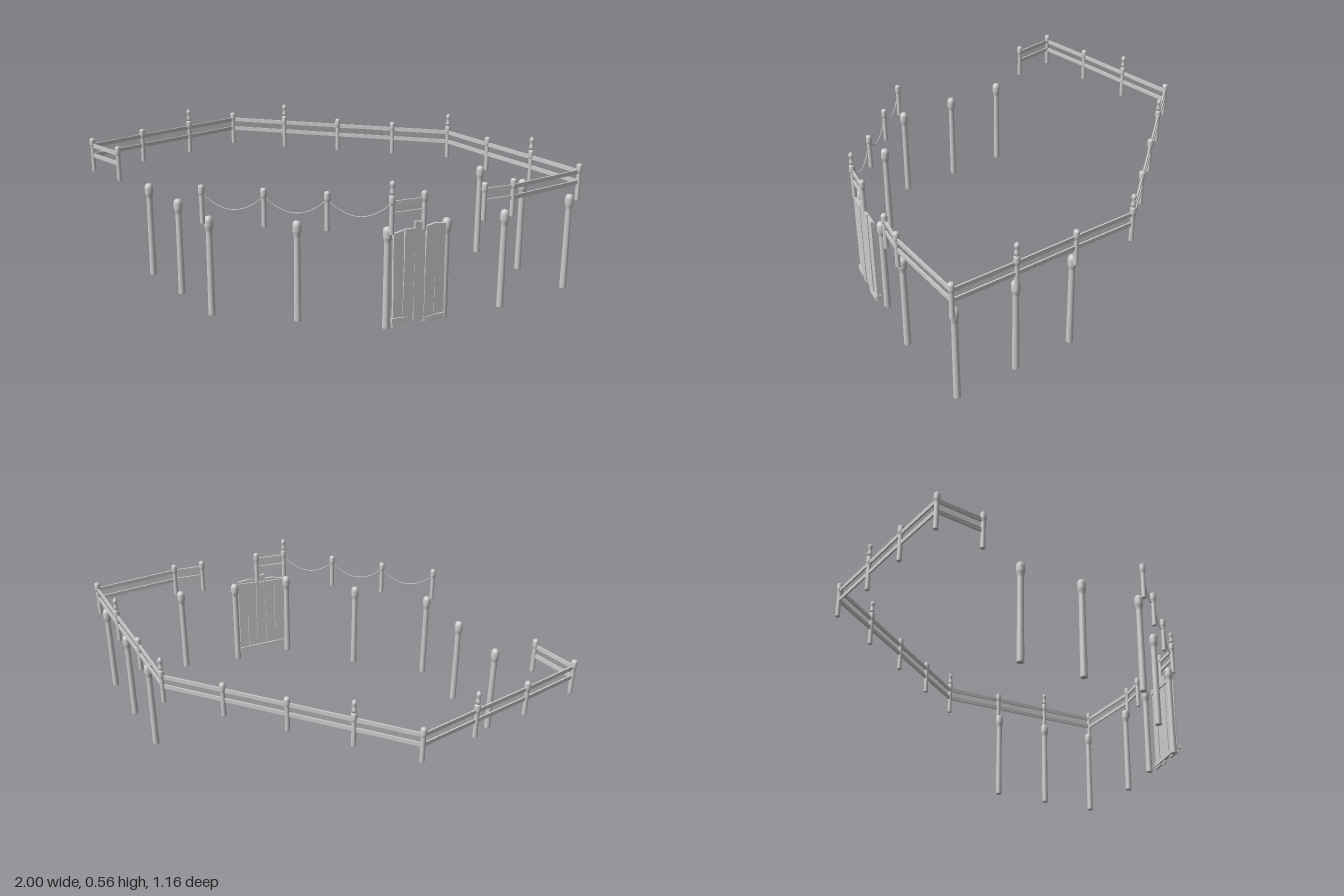
import * as THREE from 'three';

const wood = new THREE.MeshStandardMaterial({ color: 0xcccccc });
wood.name = 'pale grey wood';

// Turned shape from [radius, height] pairs
const turned = (points, sides) =>
  new THREE.LatheGeometry(points.map(([r, y]) => new THREE.Vector2(r, y)), sides);

export function createModel() {
  const model = new THREE.Group();
  model.name = 'dockFence';

  const add = (name, geometry, x = 0, y = 0, z = 0, parent = model) => {
    const mesh = new THREE.Mesh(geometry, wood);
    mesh.name = name;
    mesh.position.set(x, y, z);
    parent.add(mesh);
    return mesh;
  };

  // Tall supporting piles, slightly tapered, with thicker domed heads
  const pileGeo = turned([[0, 0.003], [0.0125, 0.003], [0.0132, 0.004], [0.0132, 0.01],
    [0.0115, 0.325], [0.012, 0.334], [0.016, 0.348], [0.0165, 0.352], [0.0165, 0.37],
    [0.0155, 0.379], [0.011, 0.386], [0.006, 0.388], [0, 0.389]], 16);
  const piles = [[-0.674, 0.204], [-0.493, 0.374], [-0.318, 0.544], [0.005, 0.534], [0.329, 0.534],
    [0.523, 0.394], [0.723, 0.259], [0.96, 0.019], [0.781, -0.151], [0.603, -0.318]];
  piles.forEach(([x, z]) => add('pile', pileGeo, x, 0, z));

  // Fence posts and the lanterns standing on some of them
  const postGeo = turned([[0, 0.368], [0.0088, 0.368], [0.0092, 0.369], [0.0086, 0.47],
    [0.009, 0.475], [0.0113, 0.482], [0.0115, 0.486], [0.0115, 0.503], [0.0095, 0.509],
    [0.005, 0.511], [0, 0.511]], 14);
  const lanternGeo = turned([[0, 0.509], [0.0085, 0.511], [0.0105, 0.522], [0.0065, 0.53],
    [0.0065, 0.541], [0.0105, 0.547], [0.0085, 0.556], [0.003, 0.562], [0, 0.563]], 8);
  // Each entry: x, z, and 1 where a lantern stands
  const mainFence = [[-0.987, 0.016], [-0.843, -0.179], [-0.696, -0.371, 1], [-0.549, -0.566],
    [-0.301, -0.551, 1], [-0.051, -0.536], [0.199, -0.522], [0.446, -0.508, 1],
    [0.626, -0.332], [0.807, -0.159, 1], [0.988, 0.018], [0.748, 0.266], [0.649, 0.337]];
  mainFence.unshift([-0.831, 0.122]);
  const gateFence = [[0.449, 0.481], [0.345, 0.552, 1]];
  const ropeFence = [[0.345, 0.552, 1], [0.119, 0.557], [-0.107, 0.562], [-0.333, 0.568]];
  [...mainFence, ...gateFence, ...ropeFence.slice(1)].forEach(([x, z, lantern]) => {
    add('fencePost', postGeo, x, 0, z);
    if (lantern) add('lantern', lanternGeo, x, 0, z);
  });

  // Two flat rails between neighbouring posts
  for (const run of [mainFence, gateFence]) {
    for (let i = 0; i < run.length - 1; i++) {
      const [x0, z0] = run[i], [x1, z1] = run[i + 1];
      const length = Math.hypot(x1 - x0, z1 - z0);
      for (const y of [0.439, 0.48]) {
        const rail = add('rail', new THREE.BoxGeometry(length, 0.016, 0.006),
          (x0 + x1) / 2, y, (z0 + z1) / 2);
        rail.rotation.y = -Math.atan2(z1 - z0, x1 - x0);
      }
    }
  }

  // Sagging rope along the open front
  for (let i = 0; i < ropeFence.length - 1; i++) {
    const [x0, z0] = ropeFence[i], [x1, z1] = ropeFence[i + 1];
    const points = [];
    for (let k = 0; k <= 8; k++) {
      const t = k / 8;
      points.push(new THREE.Vector3(x0 + (x1 - x0) * t, 0.481 - 0.056 * 4 * t * (1 - t), z0 + (z1 - z0) * t));
    }
    add('rope', new THREE.TubeGeometry(new THREE.CatmullRomCurve3(points), 20, 0.002, 6));
  }

  // Rough plank panel; local x runs along it and local +z faces outward
  const panel = new THREE.Group();
  panel.name = 'plankPanel';
  panel.position.set(0.437, 0, 0.489);
  panel.rotation.y = Math.atan2(0.13, 0.18);
  model.add(panel);

  // Each plank: centre, width, bottom, top, depth offset, lean
  const planks = [[-0.084, 0.04, 0.016, 0.374, 0, 0.008], [-0.043, 0.04, 0.02, 0.381, 0.003, -0.008],
    [0.0, 0.042, 0.028, 0.402, 0.001, 0.006], [0.043, 0.04, 0.022, 0.386, 0.003, -0.006],
    [0.084, 0.039, 0.014, 0.384, 0, 0.008]];
  planks.forEach(([x, width, low, high, z, lean], i) => {
    const geo = new THREE.BoxGeometry(width, high - low, 0.009, 1, 3, 1);
    const p = geo.attributes.position;
    // Uneven sawn edges
    for (let k = 0; k < p.count; k++) {
      const px = p.getX(k), py = p.getY(k);
      p.setX(k, px * (1 + 0.05 * Math.sin(py * 30 + i * 2)));
      p.setY(k, py + px * 0.2 * Math.sin(i * 2.3 + 1));
    }
    geo.computeVertexNormals();
    add('plank', geo, x, (low + high) / 2, z, panel).rotation.z = lean;
  });

  // Cross beams in front of and behind the planks
  const beams = [[-0.078, 0.041, 0.007, 0.062, -0.05], [0.066, 0.028, 0.008, 0.076, 0.06],
    [0, 0.036, -0.006, 0.21, -0.05], [0, 0.362, -0.006, 0.21, 0.03]];
  beams.forEach(([x, y, z, length, tilt]) => {
    add('crossBeam', new THREE.BoxGeometry(length, 0.02, 0.006), x, y, z, panel).rotation.z = tilt;
  });

  return model;
}
